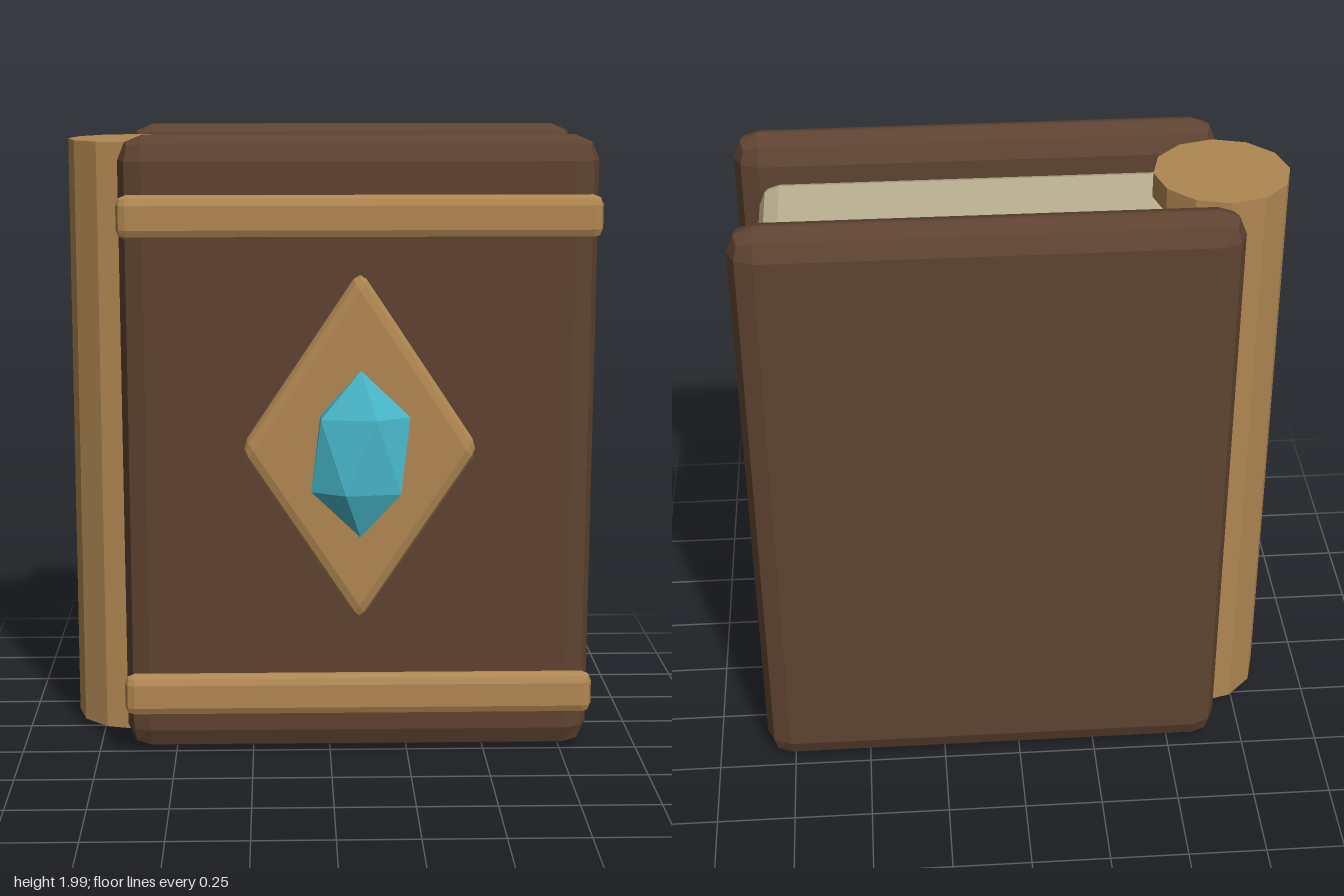
import * as THREE from 'three';
import { ConvexGeometry } from 'three/addons/geometries/ConvexGeometry.js';

const material = (color) => new THREE.MeshStandardMaterial({ color, flatShading: true });

// Box whose edges carry a two-step bevel of radius r
function bevelBox(w, h, d, r) {
  const geo = new THREE.BoxGeometry(1, 1, 1, 3, 3, 3);
  const pos = geo.attributes.position;
  const half = new THREE.Vector3(w / 2 - r, h / 2 - r, d / 2 - r);
  const v = new THREE.Vector3(), dir = new THREE.Vector3();
  for (let i = 0; i < pos.count; i++) {
    v.fromBufferAttribute(pos, i);
    // outermost grid lines bulge outward, inner ones stay on the core box
    dir.set(...v.toArray().map((c) => (Math.abs(c) > 0.4 ? Math.sign(c) : 0)));
    dir.normalize().multiplyScalar(r);
    v.set(Math.sign(v.x), Math.sign(v.y), Math.sign(v.z)).multiply(half).add(dir);
    pos.setXYZ(i, v.x, v.y, v.z);
  }
  geo.computeVertexNormals();
  return geo;
}

export function createModel() {
  const book = new THREE.Group();
  book.name = 'book';
  const leather = material(0x5e4331);
  const brass = material(0xb08752);
  const paper = material(0xbdb292);
  const crystal = material(0x48b6c9);

  const add = (name, geo, mat, x, y, z) => {
    const mesh = new THREE.Mesh(geo, mat);
    mesh.name = name;
    mesh.position.set(x, y, z);
    book.add(mesh);
  };
  const cx = 0.09; // middle of the covers

  // Covers
  const cover = bevelBox(1.5, 1.99, 0.168, 0.078);
  add('frontCover', cover, leather, cx, 1.005, 0.19);
  add('backCover', cover, leather, cx, 1.005, -0.403);

  // Page block
  add('pages', bevelBox(1.345, 1.775, 0.415, 0.062), paper, cx, 1.003, -0.104);

  // Spine, slightly wider at the foot
  add('spine', new THREE.CylinderGeometry(0.207, 0.214, 1.935, 12), brass, -0.632, 1.003, -0.105);

  // Straps across the front cover
  const strap = bevelBox(1.5, 0.135, 0.07, 0.03);
  add('upperStrap', strap, brass, cx, 1.755, 0.302);
  add('lowerStrap', strap, brass, cx, 0.222, 0.302);

  // Diamond plate: a square plate turned on its corner and stretched
  const plate = bevelBox(1, 1, 0.15, 0.055).rotateZ(Math.PI / 4).scale(0.528, 0.796, 0.5);
  add('diamondPlate', plate, brass, cx, 1.034, 0.333);

  // Gem: stretched twenty-sided crystal standing on a point
  const points = [new THREE.Vector3(0, 1, 0), new THREE.Vector3(0, -1, 0)];
  for (let i = 0; i < 5; i++) {
    const a = (i * Math.PI * 2) / 5;
    const p = new THREE.Vector3(Math.cos(a) * 0.894, 0.447, Math.sin(a) * 0.894);
    points.push(p, p.clone().negate());
  }
  add('gem', new ConvexGeometry(points).scale(0.171, 0.263, 0.0735), crystal, cx, 1.034, 0.428);

  return book;
}
